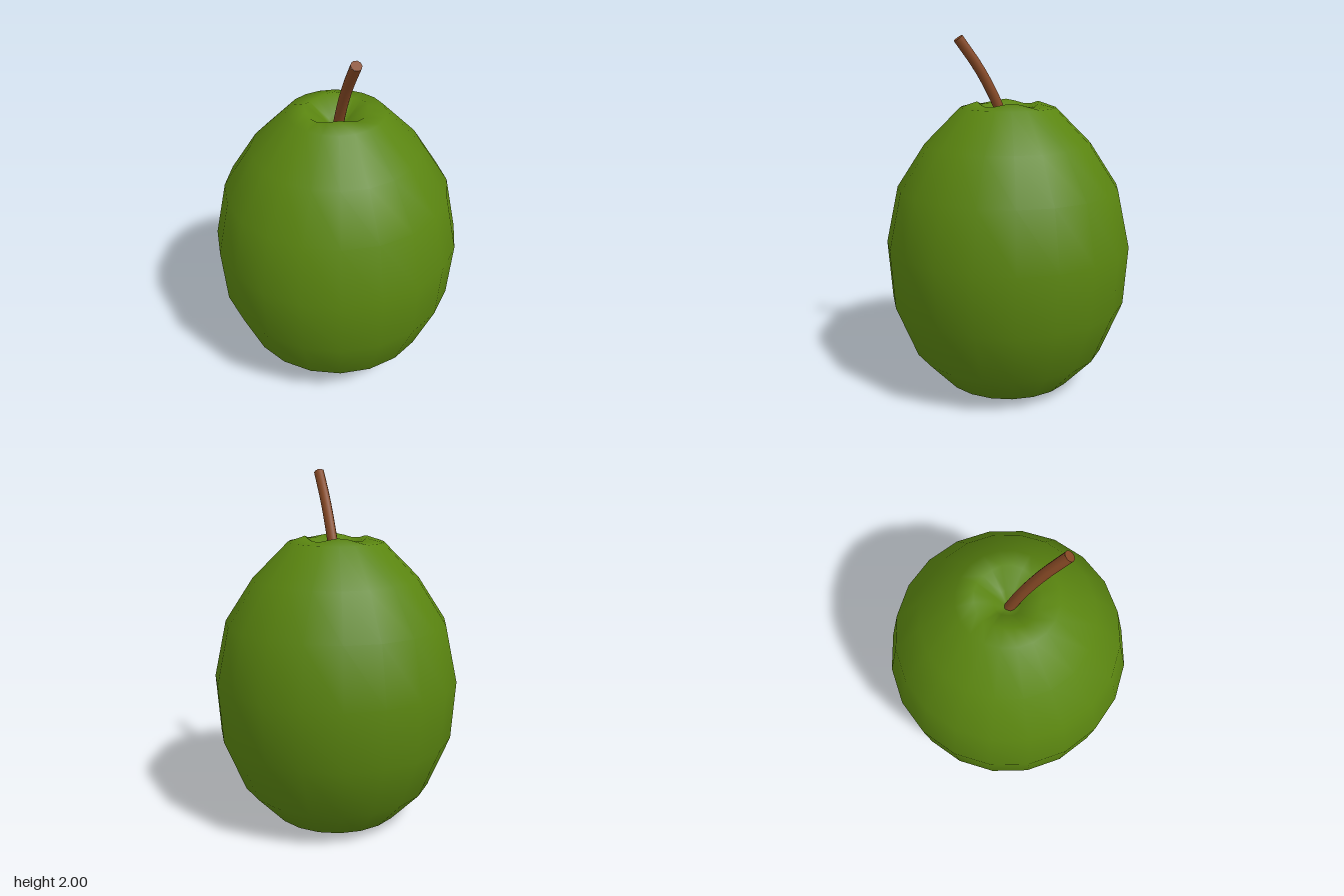
import * as THREE from 'three';
import { mergeVertices } from 'three/addons/utils/BufferGeometryUtils.js';

const SIDES = 20;

// Fruit body: a faceted lathe whose rims around both dimples ripple in four soft lobes
function makeBody(material) {
  const profile = [
    // radius, height, ripple
    [0, 0.12, 0], [0.07, 0.09, 0.005], [0.17, 0.012, 0.012], [0.38, 0.035, 0],
    [0.55, 0.22, 0], [0.67, 0.52, 0], [0.692, 0.85, 0], [0.622, 1.17, 0],
    [0.465, 1.41, 0], [0.265, 1.61, 0], [0.17, 1.63, 0.012], [0.07, 1.55, 0.01], [0, 1.49, 0],
  ];
  const points = profile.map(([r, y]) => new THREE.Vector2(r, y));
  const lathe = new THREE.LatheGeometry(points, SIDES, THREE.MathUtils.degToRad(-2.5));
  const pos = lathe.attributes.position;
  for (let i = 0; i < pos.count; i++) {
    const [, y, ripple] = profile[i % profile.length];
    const wave = Math.cos(4 * Math.atan2(pos.getX(i), pos.getZ(i)));
    pos.setY(i, y + Math.sign(y - 0.8) * ripple * wave);
  }
  // Weld the seam so the smooth normals run all the way round
  lathe.deleteAttribute('uv');
  lathe.deleteAttribute('normal');
  const geometry = mergeVertices(lathe, 1e-4);
  geometry.computeVertexNormals();
  const body = new THREE.Mesh(geometry, material);
  body.name = 'fruitBody';
  return body;
}

// Stem: a curved tube leaning forward, closed by a flat cut end
function makeStem(material) {
  const stem = new THREE.Group();
  stem.name = 'stem';
  const radius = 0.029;
  const curve = new THREE.CatmullRomCurve3([
    new THREE.Vector3(0, 1.47, 0),
    new THREE.Vector3(0.018, 1.64, 0.065),
    new THREE.Vector3(0.042, 1.82, 0.16),
    new THREE.Vector3(0.07, 1.98, 0.272),
  ]);
  const stalk = new THREE.Mesh(new THREE.TubeGeometry(curve, 8, radius, 10), material);
  stalk.name = 'stalk';
  const cut = new THREE.Mesh(new THREE.CircleGeometry(radius, 10), material);
  cut.name = 'stalkEnd';
  cut.position.copy(curve.getPoint(1));
  cut.quaternion.setFromUnitVectors(new THREE.Vector3(0, 0, 1), curve.getTangent(1));
  stem.add(stalk, cut);
  return stem;
}

export function createModel() {
  const skin = new THREE.MeshStandardMaterial({ color: 0x5a8510 });
  skin.name = 'green skin';
  const bark = new THREE.MeshStandardMaterial({ color: 0x854824 });
  bark.name = 'brown bark';

  const model = new THREE.Group();
  model.name = 'fruit';
  model.add(makeBody(skin), makeStem(bark));
  return model;
}
